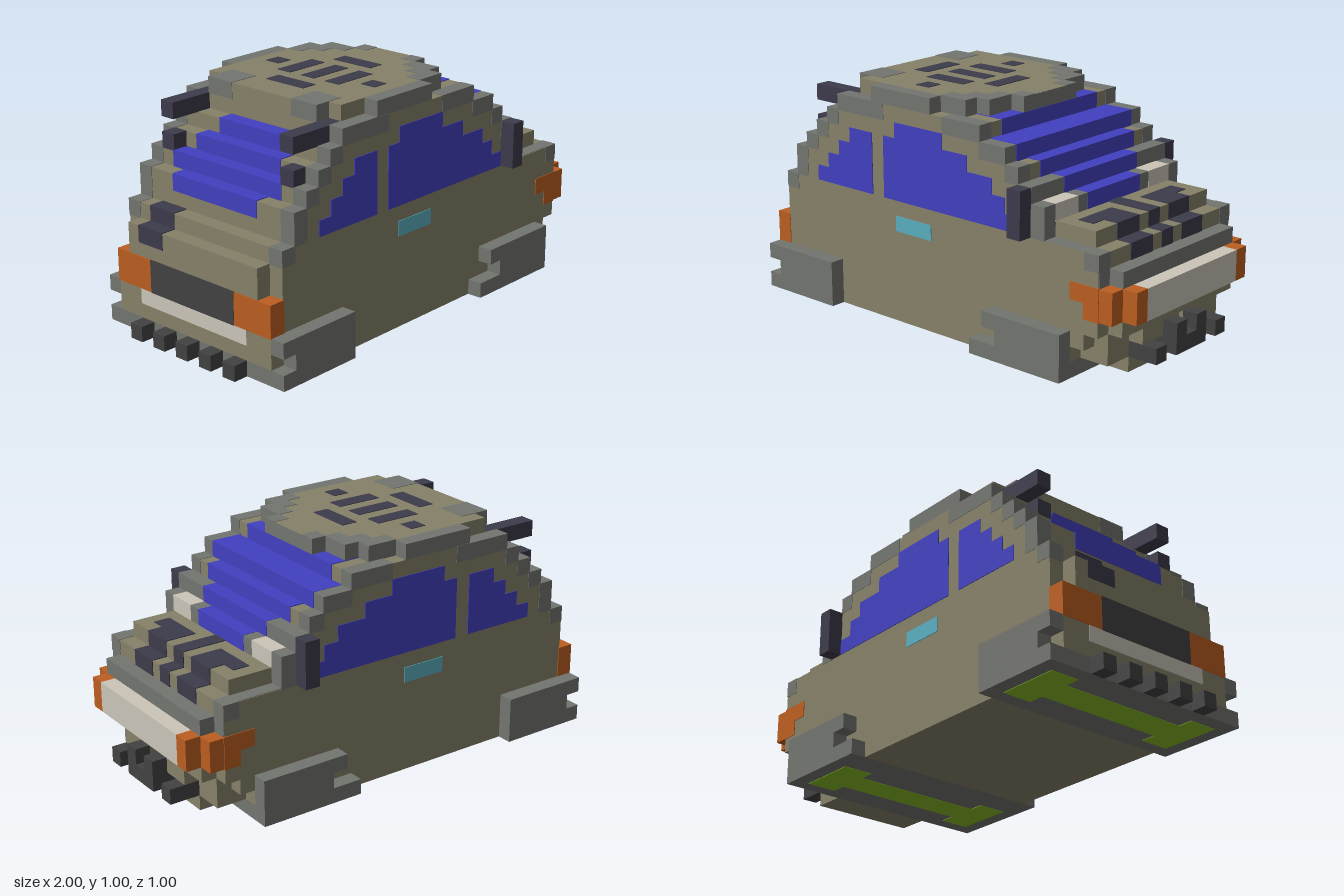
import * as THREE from 'three';
import { mergeGeometries } from 'three/addons/utils/BufferGeometryUtils.js';

const V = 1 / 15; // one block; the car is 30 x 15 x 15 blocks

const mat = (name, color) => {
  const m = new THREE.MeshStandardMaterial({ color });
  m.name = name;
  return m;
};

// block units: x 0..30 (rear to front), y 0..15, z -7.5..7.5; e swells painted blocks slightly
function block([x0, x1, y0, y1, z0, z1], e) {
  const g = new THREE.BoxGeometry((x1 - x0 + 2 * e) * V, (y1 - y0 + 2 * e) * V, (z1 - z0 + 2 * e) * V);
  g.translate(((x0 + x1) / 2 - 15) * V, ((y0 + y1) / 2) * V, ((z0 + z1) / 2) * V);
  return g;
}

const mid = (x0, x1, y0, y1, h) => [x0, x1, y0, y1, -h, h];
const pair = (x0, x1, y0, y1, z0, z1) => [[x0, x1, y0, y1, z0, z1], [x0, x1, y0, y1, -z1, -z0]];

export function createModel() {
  const olive = mat('olive', 0x868169);
  const grey = mat('grey', 0x737570);
  const blue = mat('glass blue', 0x4240c0);
  const navy = mat('dark navy', 0x3d3b4b);
  const black = mat('charcoal', 0x424242);
  const white = mat('off white', 0xccc6b9);
  const orange = mat('orange', 0xbc5e20);
  const cyan = mat('handle cyan', 0x5aafc0);
  const green = mat('wheel green', 0x88bc24);

  const car = new THREE.Group();
  car.name = 'car';
  const part = (name, material, blocks, e = 0) => {
    const mesh = new THREE.Mesh(mergeGeometries(blocks.map((b) => block(b, e))), material);
    mesh.name = name;
    car.add(mesh);
  };

  // stepped lower body, hood and front end
  part('lowerBody', olive, [
    mid(7, 19, 0, 1, 6.5), mid(26, 28, 0, 1, 3.5),
    mid(1, 26, 1, 2, 6.5), mid(26, 28, 1, 2, 5.5),
    mid(1, 27, 2, 3, 6.5), mid(27, 28, 2, 3, 5.5), ...pair(28, 29, 2, 3, 1.5, 3.5),
    mid(1, 28, 3, 5, 6.5), mid(28, 29, 3, 6, 5.5),
    mid(1, 2, 5, 7, 5.5), mid(2, 28, 5, 7, 6.5),
    mid(2, 28, 7, 8, 6.5), mid(24, 27, 8, 9, 5.5),
  ]);

  // cabin, one layer per [bottom, rear, front]
  const cabin = [[8, 3, 24], [9, 3, 24], [10, 4, 23], [11, 5, 22], [12, 6, 21], [13, 7, 19]];
  part('cabin', olive, cabin.map(([y, a, b]) => mid(a, b, y, y + 1, 6.5)));

  // roof slab with stepped corners
  part('roof', olive, [
    mid(7, 19, 14, 15, 2.5), ...pair(7, 18, 14, 15, 2.5, 4.5), ...pair(8, 17, 14, 15, 4.5, 5.5),
  ]);
  part('roofSideRail', grey, pair(10, 15, 14, 15, 5.5, 6.5));
  part('roofTrim', grey, [
    ...pair(7, 9, 14, 15, 2.5, 4.5), ...pair(15, 17, 14, 15, 4.5, 5.5),
    ...pair(16, 18, 14, 15, 3.5, 4.5), ...pair(17, 18, 14, 15, 2.5, 3.5),
    ...pair(18, 19, 14, 15, 1.5, 2.5), mid(18.95, 19, 14, 14.95, 1.5),
  ], 0.03);

  // grey blocks along the steps of both sides
  const rim = [
    [2, 3, 7, 8], [27, 28, 7, 8], [3, 4, 8, 10], [23, 24, 8, 10], [4, 5, 10, 11], [22, 23, 10, 11],
    [5, 6, 11, 12], [21, 22, 11, 12], [6, 7, 12, 13], [19, 21, 12, 13], [7, 11, 13, 14], [16, 19, 13, 14],
  ];
  part('stepTrim', grey, rim.flatMap((r) => pair(...r, 5.5, 6.5)), 0.03);
  part('upperEdge', grey, [
    ...pair(24, 27, 7.9, 8, 5.55, 6.42), ...pair(27.95, 28, 6, 7, 5.5, 6.42),
    ...pair(22, 23, 10, 11, 3.5, 5.5), ...pair(23, 24, 9, 10, 2.5, 3.5),
  ], 0.03);
  part('noseBand', grey, [mid(28, 29, 6, 7, 5.5)]);

  // stepped glass: [bottom, rear, front, half width]
  const front = [[9, 22, 24, 2.5], [10, 21, 23, 3.5], [11, 20, 22, 4.5], [12, 18, 21, 5.5], [13, 17, 19, 4.5]];
  const rear = [[9, 3, 5, 3.5], [10, 4, 6, 4.5], [11, 5, 7, 3.5], [12, 6, 8, 2.5]];
  part('windshield', blue, front.map(([y, a, b, h]) => mid(a, b, y, y + 1, h)), 0.05);
  part('rearWindow', blue, rear.map(([y, a, b, h]) => mid(a, b, y, y + 1, h)), 0.05);

  // side windows and handles as thin plates
  const panes = [
    [5, 10, 8], [6, 10, 9], [7, 10, 10], [8, 10, 11],
    [11, 22, 8], [11, 21, 9], [11, 20, 10], [11, 18, 11], [12, 16, 12],
  ];
  part('sideWindows', blue, panes.flatMap(([a, b, y]) => pair(a, b, y, y + 1, 6.45, 6.55)));
  part('doorHandles', cyan, pair(12, 15, 6, 7, 6.45, 6.55));
  part('mirrors', navy, pair(22, 23, 8, 11, 6.5, 7.5));

  // roof slots
  part('roofSlots', navy, [
    mid(9, 10, 14.95, 15, 1.5), mid(15, 16, 14.95, 15, 1.5), mid(11, 14, 14.95, 15, 0.5),
    ...pair(11, 14, 14.95, 15, 1.5, 2.5), ...pair(12, 13, 14.95, 15, 3.5, 4.5),
  ], 0.04);

  // hood vents running over the front steps
  part('hoodVents', navy, [
    mid(24, 27, 8, 9, 0.5), mid(26, 28, 7, 8, 0.5),
    ...pair(25, 26, 8, 9, 1.5, 4.5), ...pair(25, 27, 8, 9, 1.5, 3.5), ...pair(26, 28, 7, 8, 1.5, 3.5),
  ], 0.05);

  // rear bars and the offset rear deck vent
  part('rearBars', navy, [...pair(4, 8, 13, 14, 4.5, 5.5), ...pair(4, 5, 11, 12, 4.5, 5.5)], 0.02);
  part('deckVent', navy, [[1, 2, 6, 7, -4.5, -2.5], [2, 3, 7, 8, -4.5, -2.5]], 0.05);

  // front lights and bumper
  part('frontLightBar', white, [mid(29, 30, 4, 6, 4.5)]);
  part('frontLights', orange, [...pair(29, 30, 4, 6, 4.5, 5.5), ...pair(28, 29, 4, 6, 5.5, 6.5)]);
  part('sideMarkers', orange, [...pair(27, 28, 4, 6, 6.4, 6.5), ...pair(26, 27, 5, 6, 6.4, 6.5)], 0.05);
  part('cowlLights', white, pair(23, 24, 9, 10, 3.5, 5.5), 0.05);
  part('frontGuard', black, [
    mid(28, 30, 1, 2, 1.5), ...pair(29, 30, 2, 3, 0.5, 1.5), ...pair(28, 30, 1, 2, 2.5, 3.5),
  ]);

  // rear lights, panel and prongs
  part('rearLights', orange, pair(1, 2, 3, 5, 3.5, 6.5), 0.05);
  part('rearPanel', black, [mid(1, 1.5, 3, 5, 3.5)], 0.07);
  part('rearPlate', white, [mid(1, 1.5, 2, 3, 4.5)], 0.04);
  part('rearProngs', black, [-4, -2, 0, 2, 4].map((z) => [0, 1, 0, 1, z - 0.5, z + 0.5]));

  // wheel skirts and the painted wheels with axle underneath
  part('wheelSkirts', grey, [
    mid(1, 7, 0, 1, 7.5), ...pair(2, 7, 1, 2, 6.5, 7.5), ...pair(1, 7, 2, 3, 6.5, 7.5),
    mid(19, 26, 0, 1, 7.5), ...pair(21, 26, 1, 2, 6.5, 7.5), ...pair(20, 26, 2, 3, 6.5, 7.5),
  ]);
  part('wheelUndersides', green, [2, 21].flatMap((x) => [
    mid(x + 1, x + 3, -0.03, 0.05, 4.5), ...pair(x, x + 4, -0.03, 0.05, 4.5, 6.5),
  ]));

  return car;
}
